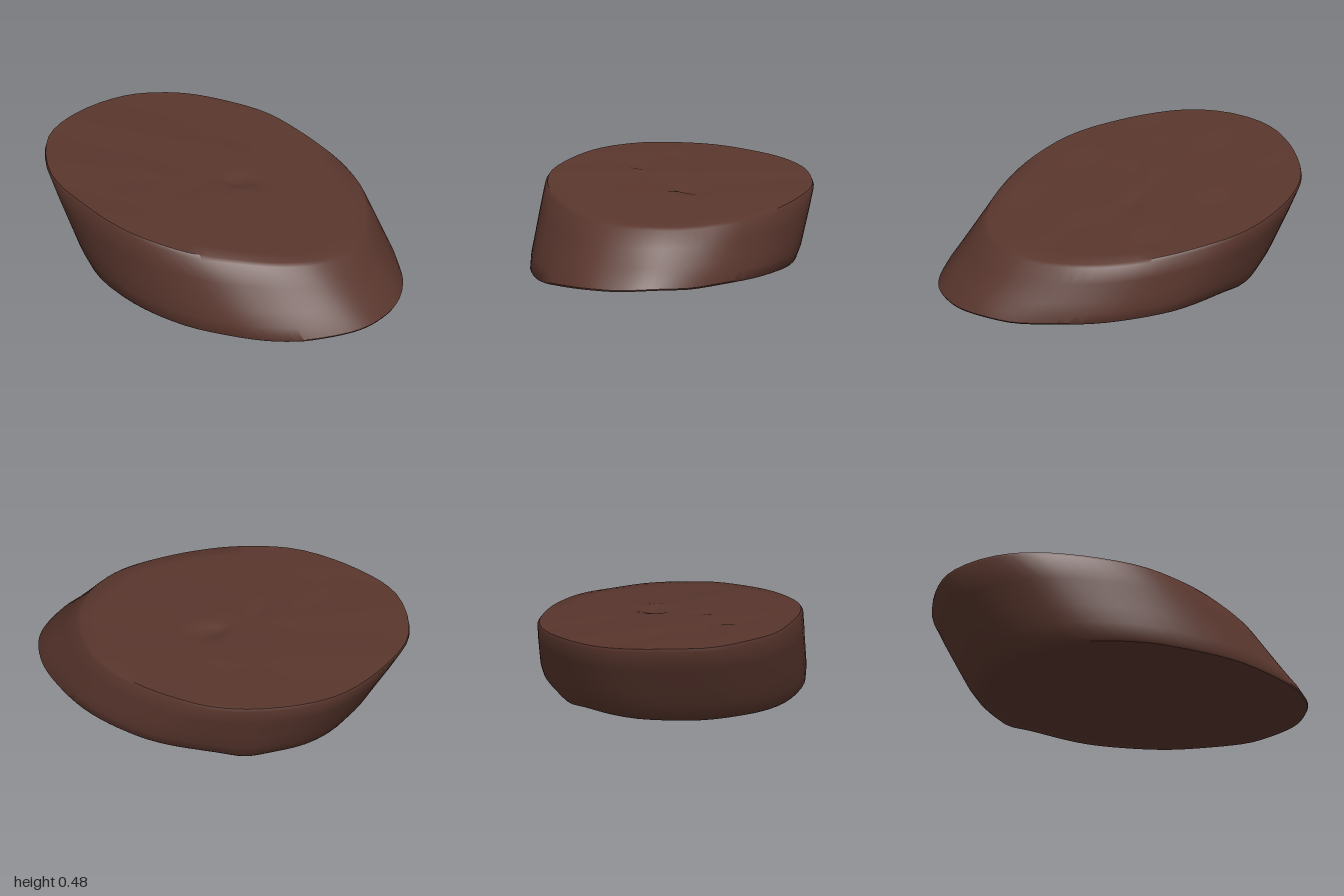
import * as THREE from 'three';
import { toCreasedNormals } from 'three/addons/utils/BufferGeometryUtils.js';

const SEGMENTS = 76;

// Closed smooth outline in x and z, starting at +x and turning towards +z
function outline(points) {
  const curve = new THREE.CatmullRomCurve3(
    points.map(([x, z]) => new THREE.Vector3(x, 0, z)), true, 'centripetal');
  return Array.from({ length: SEGMENTS }, (_, j) => curve.getPoint(j / SEGMENTS));
}

const topEdge = outline([
  [0.74, -0.05], [0.7, 0.13], [0.59, 0.29], [0.41, 0.45], [0.2, 0.585], [-0.1, 0.672], [-0.45, 0.652],
  [-0.74, 0.56], [-0.97, 0.3], [-1, 0.03], [-0.925, -0.27], [-0.785, -0.45], [-0.6, -0.58],
  [-0.35, -0.675], [-0.1, -0.685], [0.2, -0.64], [0.45, -0.53], [0.62, -0.37], [0.71, -0.22]]);
const bottomEdge = outline([
  [0.995, -0.04], [0.975, 0.12], [0.865, 0.3], [0.73, 0.43], [0.52, 0.555], [0.22, 0.65], [-0.1, 0.665],
  [-0.42, 0.57], [-0.66, 0.33], [-0.73, 0.02], [-0.67, -0.27], [-0.53, -0.46], [-0.33, -0.58],
  [-0.05, -0.665], [0.2, -0.67], [0.44, -0.62], [0.68, -0.5], [0.86, -0.36], [0.965, -0.2]]);

const bump = (x, z, cx, cz, r) => Math.exp(-((x - cx) ** 2 + (z - cz) ** 2) / (r * r));
const ripple = (x, z) => 0.003 * Math.sin(9 * x + 4 * z) * Math.cos(11 * z - 3 * x);

// Sloping cut face with a dent and small pits
function topHeight(x, z) {
  return 0.402 + 0.055 * z - 0.085 * x - 0.02 * x * x + ripple(x, z)
    - 0.025 * bump(x, z, -0.03, -0.1, 0.06) + 0.012 * bump(x, z, 0.06, -0.07, 0.06)
    - 0.012 * bump(x, z, -0.62, 0.14, 0.05) - 0.012 * bump(x, z, -0.38, 0.28, 0.05)
    - 0.01 * bump(x, z, -0.16, 0.15, 0.05);
}
// Nearly flat underside, rising towards the back with a small lump near the rim
function bottomHeight(x, z) {
  return 0.009 + ripple(x, z) + 0.05 * Math.max(0, -z - 0.1)
    + 0.015 * Math.max(0, x - 0.8) / 0.2
    - 0.02 * bump(x, z, -0.43, -0.46, 0.1) + 0.012 * bump(x, z, 0.1, -0.25, 0.07);
}

// Rings run from the underside centre, up the wall, to the top centre
// [height fraction, scale about the ring centre]
const rings = [
  [0, 0], [0, 0.1], [0, 0.3], [0, 0.5], [0, 0.7], [0, 0.87], [0, 0.99],
  [0.03, 1.004], [0.2, 1.016], [0.4, 1.013], [0.7, 1.008], [0.96, 1],
  [1, 0.985], [1, 0.87], [1, 0.74], [1, 0.61], [1, 0.48], [1, 0.36], [1, 0.25], [1, 0.15], [1, 0.07], [1, 0]];

function sliceGeometry() {
  const positions = [], index = [];
  for (const [t, s] of rings) {
    for (let j = 0; j < SEGMENTS; j++) {
      const p = bottomEdge[j].clone().lerp(topEdge[j], t);
      const cx = THREE.MathUtils.lerp(0.14, -0.13, t);
      const x = cx + (p.x - cx) * s, z = p.z * s;
      const y = THREE.MathUtils.lerp(bottomHeight(x, z), topHeight(x, z), t);
      positions.push(x, Math.max(0, y), z);
    }
  }
  for (let i = 0; i < rings.length - 1; i++) {
    for (let j = 0; j < SEGMENTS; j++) {
      const k = (j + 1) % SEGMENTS;
      const a = i * SEGMENTS + j, b = i * SEGMENTS + k;
      const c = a + SEGMENTS, d = b + SEGMENTS;
      if (i < rings.length - 2) index.push(a, c, d);
      if (i > 0) index.push(a, d, b);
    }
  }
  const geometry = new THREE.BufferGeometry();
  geometry.setAttribute('position', new THREE.Float32BufferAttribute(positions, 3));
  geometry.setIndex(index);
  return toCreasedNormals(geometry, 0.8);
}

export function createModel() {
  const brown = new THREE.MeshStandardMaterial({ color: 0x59362d });
  brown.name = 'dark brown';
  const slice = new THREE.Mesh(sliceGeometry(), brown);
  slice.name = 'slantedSlice';
  const group = new THREE.Group();
  group.name = 'slice';
  group.add(slice);
  return group;
}
